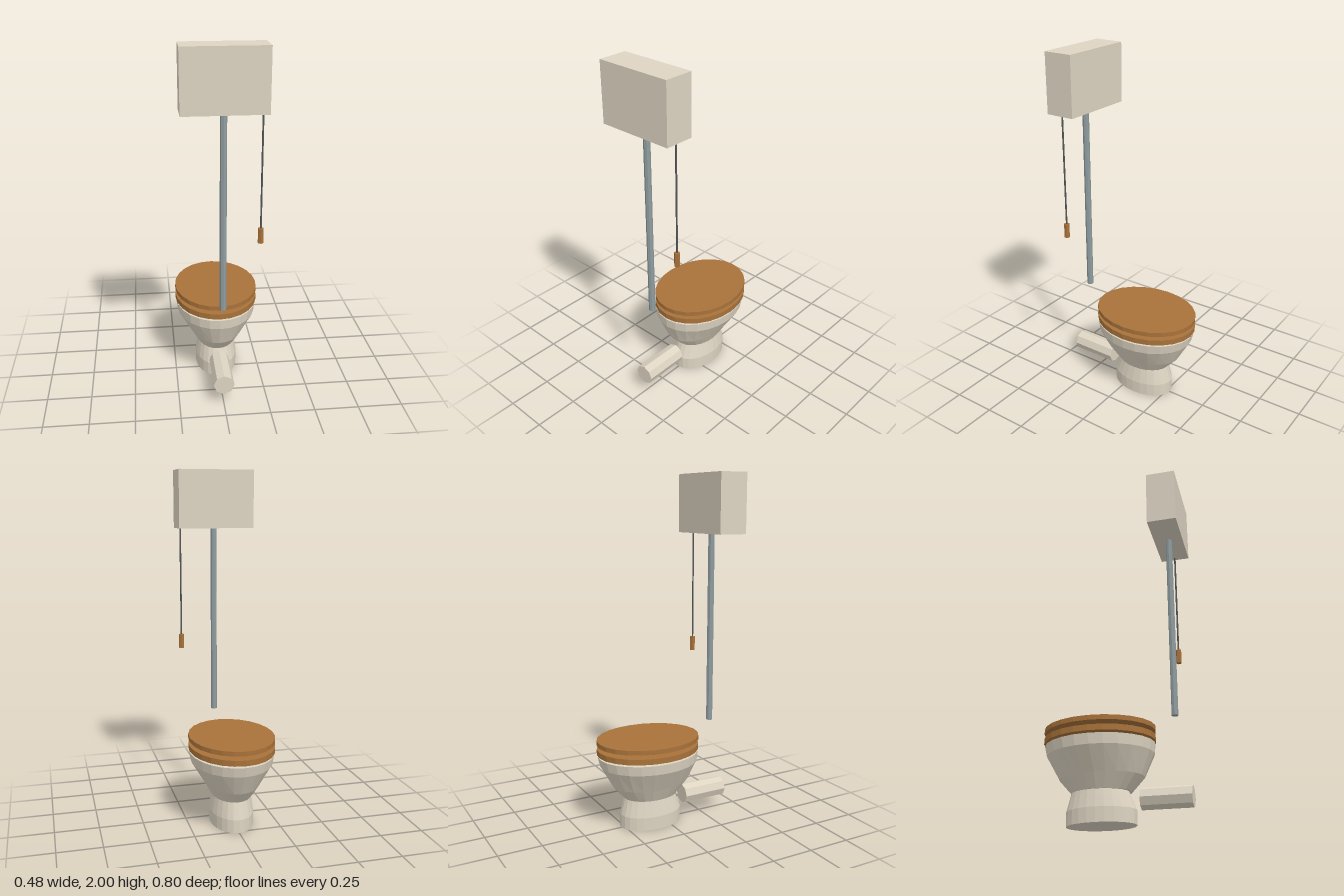
import * as THREE from 'three';

function material(name, color) {
  const m = new THREE.MeshStandardMaterial({ color, flatShading: true });
  m.name = name;
  return m;
}

// Loft through elliptical sections: [y, x radius, z radius, z centre]
function loft(sections, segments = 24) {
  const lathe = new THREE.LatheGeometry(sections.map(([y]) => new THREE.Vector2(1, y)), segments);
  const p = lathe.attributes.position;
  for (let i = 0; i < p.count; i++) {
    const [, rx, rz, cz] = sections[i % sections.length];
    p.setX(i, p.getX(i) * rx);
    p.setZ(i, p.getZ(i) * rz + cz);
  }
  const g = lathe.toNonIndexed();
  g.computeVertexNormals();
  return g;
}

export function createModel() {
  const model = new THREE.Group();
  const ceramic = material('cream ceramic', 0xddd4c2);
  const wood = material('brown wood', 0xa8723a);
  const metal = material('grey metal', 0x8f9c9f);
  const chainMetal = material('dark chain', 0x555858);

  const add = (name, geometry, mat, x = 0, y = 0, z = 0) => {
    const mesh = new THREE.Mesh(geometry, mat);
    mesh.name = name;
    mesh.position.set(x, y, z);
    model.add(mesh);
    return mesh;
  };
  // Upright rod between two heights
  const rod = (name, r, y0, y1, sides, mat, x, z) =>
    add(name, new THREE.CylinderGeometry(r, r, y1 - y0, sides), mat, x, (y0 + y1) / 2, z);

  // Pedestal foot
  add('pedestal', loft([
    [0, 0, 0, -0.083],
    [0, 0.122, 0.188, -0.083],
    [0.077, 0.124, 0.188, -0.083],
    [0.173, 0.108, 0.155, -0.09],
    [0.173, 0, 0, -0.09],
  ]), ceramic);

  // Hollow bowl
  add('bowl', loft([
    [0.172, 0, 0, -0.085],
    [0.172, 0.114, 0.163, -0.083],
    [0.248, 0.156, 0.231, -0.083],
    [0.372, 0.23, 0.292, -0.091],
    [0.428, 0.238, 0.301, -0.095],
    [0.428, 0.19, 0.25, -0.095],
    [0.36, 0.18, 0.24, -0.091],
    [0.22, 0.08, 0.11, -0.085],
    [0.22, 0, 0, -0.085],
  ]), ceramic);

  // Seat ring and lid
  const cz = -0.096;
  add('seat', loft([
    [0.44, 0.15, 0.2, cz],
    [0.44, 0.242, 0.305, cz],
    [0.472, 0.242, 0.305, cz],
    [0.472, 0.15, 0.2, cz],
    [0.44, 0.15, 0.2, cz],
  ]), wood);
  add('lid', loft([
    [0.496, 0, 0, cz],
    [0.496, 0.242, 0.305, cz],
    [0.522, 0.242, 0.305, cz],
    [0.522, 0, 0, cz],
  ]), wood);

  // Waste pipe
  add('wastePipe', new THREE.CylinderGeometry(0.058, 0.058, 0.27, 8), ceramic, 0, 0.129, 0.265)
    .rotation.x = Math.PI / 2;

  // High tank with flush pipe and pull chain
  add('tank', new THREE.BoxGeometry(0.444, 0.333, 0.168), ceramic, 0, 1.8335, 0.316);
  rod('flushPipe', 0.0185, 0.565, 1.668, 8, metal, 0, 0.318);
  rod('pullChain', 0.005, 1.03, 1.668, 6, chainMetal, 0.2, 0.318);
  rod('pullHandle', 0.016, 0.955, 1.038, 6, wood, 0.2, 0.318);

  return model;
}
